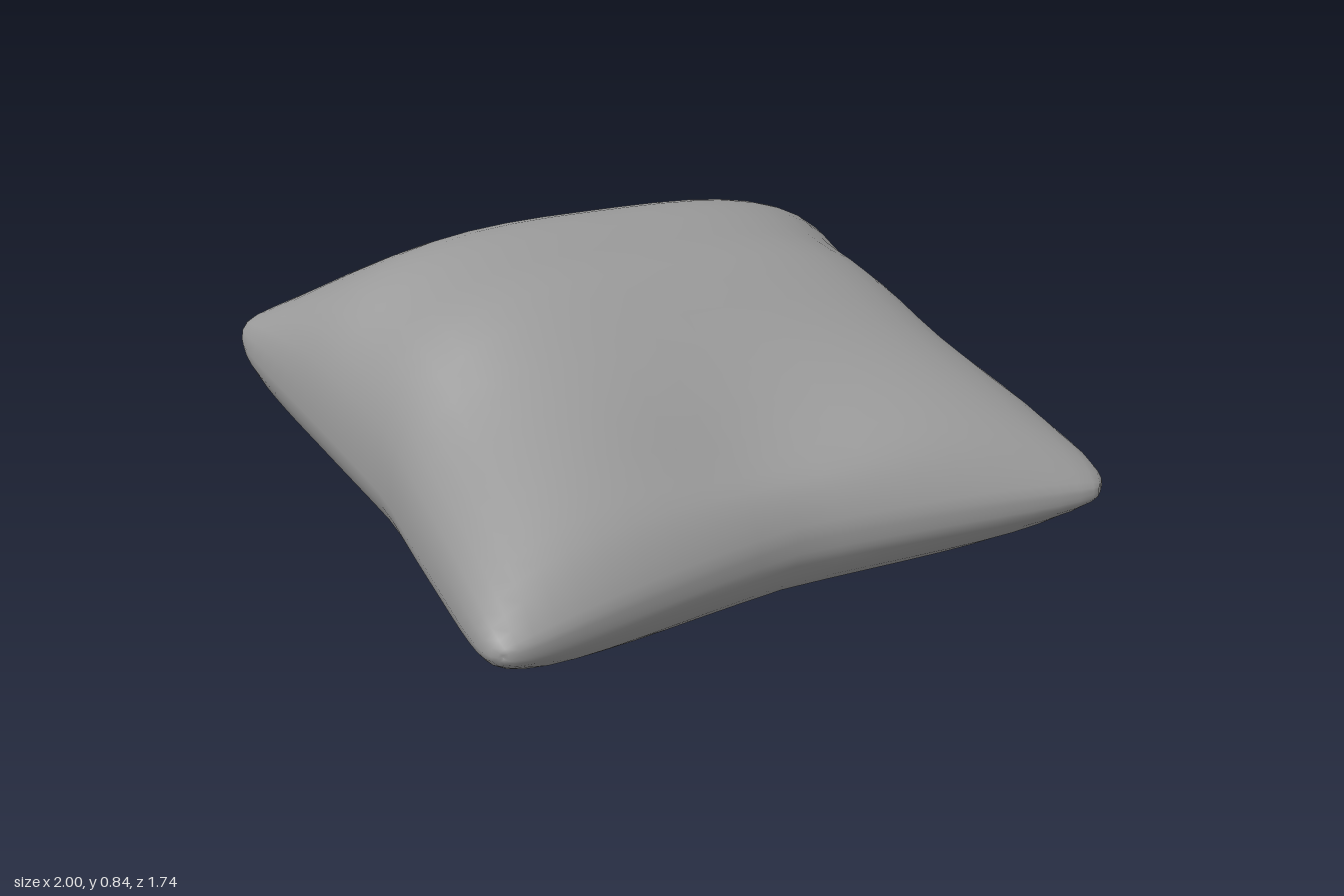
import * as THREE from 'three';
import { mergeVertices } from 'three/addons/utils/BufferGeometryUtils.js';

// Cross-sections from front to back: [depth v, seam height, top height, underside height]
const SECTIONS = [
  [1, 0.21, 0.21, 0.21], [0.98, 0.21, 0.275, 0.155], [0.84, 0.21, 0.41, 0.055],
  [0.6, 0.21, 0.53, 0.015], [0.25, 0.23, 0.65, 0.01], [-0.035, 0.28, 0.785, 0.03],
  [-0.27, 0.33, 0.82, 0.06], [-0.48, 0.38, 0.85, 0.1], [-0.68, 0.43, 0.785, 0.15],
  [-0.86, 0.475, 0.685, 0.235], [-0.975, 0.505, 0.595, 0.39], [-1, 0.515, 0.515, 0.515],
];

// Smooth curve through one column of the sections
function column(k) {
  const pts = SECTIONS.map((s) => new THREE.Vector3(s[0], s[k], 0));
  return new THREE.CatmullRomCurve3(pts, false, 'catmullrom', 0.5);
}

const bell = (x, width) => Math.exp(-Math.pow(x / width, 2));

// Pinched outline: edges draw in between the four rounded corners
function outline(u, v) {
  const au = Math.abs(u), av = Math.abs(v);
  const round = 1 - 0.06 * Math.pow(au * av, 14);
  const side = u < 0
    ? 1.005 - 0.018 * v - 0.125 * au * (1 - Math.pow(av, 1.3))
    : 1.004 + 0.004 * v - 0.085 * au * bell(v + 0.18, 0.4);
  const endPinch = v > 0
    ? 0.17 * (1 - Math.pow(au, 1.2))
    : 0.09 * (1 - Math.pow(au, 1.5));
  return [u * side * round, v * (0.897 - endPinch * v * v) * round];
}

function cushionGeometry(rows = 33, cols = 24) {
  const seam = column(1), top = column(2), under = column(3);
  const ring = cols * 2;
  const pos = [], idx = [];
  for (let i = 0; i <= rows; i++) {
    const t = i / rows;
    const s = seam.getPoint(t);
    const v = THREE.MathUtils.clamp(s.x, -1, 1);
    const up = top.getPoint(t).y - s.y;
    const down = s.y - under.getPoint(t).y;
    // the middle of the front sinks into a straight slope
    const sink = 0.28 * bell(v - 0.65, 0.28);
    for (let j = 0; j < ring; j++) {
      // first half of the ring runs over the top, second half returns underneath
      const u = -Math.cos((j / cols) * Math.PI);
      const au = Math.abs(u);
      let y = s.y;
      if (j % cols !== 0) {
        y += j < cols
          ? up * Math.pow(1 - Math.pow(au, 2.9), 0.43)
            * (1 - 0.07 * u * (1 - au)) * (1 - sink * bell(u, 0.4))
          : -down * Math.pow(1 - Math.pow(au, 5), 0.56);
      }
      const [x, z] = outline(u, v);
      pos.push(x, y, z);
    }
  }
  for (let i = 0; i < rows; i++) {
    for (let j = 0; j < ring; j++) {
      const k = (j + 1) % ring;
      const a = i * ring + j, b = i * ring + k;
      idx.push(a, b, a + ring, b, b + ring, a + ring);
    }
  }
  let geo = new THREE.BufferGeometry();
  geo.setAttribute('position', new THREE.Float32BufferAttribute(pos, 3));
  geo.setIndex(idx);
  // weld the seam so it shades smoothly
  geo = mergeVertices(geo, 1e-4);
  geo.computeBoundingBox();
  const c = geo.boundingBox.getCenter(new THREE.Vector3());
  geo.translate(-c.x, -geo.boundingBox.min.y, -c.z);
  geo.computeVertexNormals();
  return geo;
}

export function createModel() {
  const group = new THREE.Group();
  group.name = 'pillow';
  const cushion = new THREE.Mesh(
    cushionGeometry(),
    new THREE.MeshStandardMaterial({ color: 0x999999 })
  );
  cushion.name = 'cushion';
  group.add(cushion);
  return group;
}
